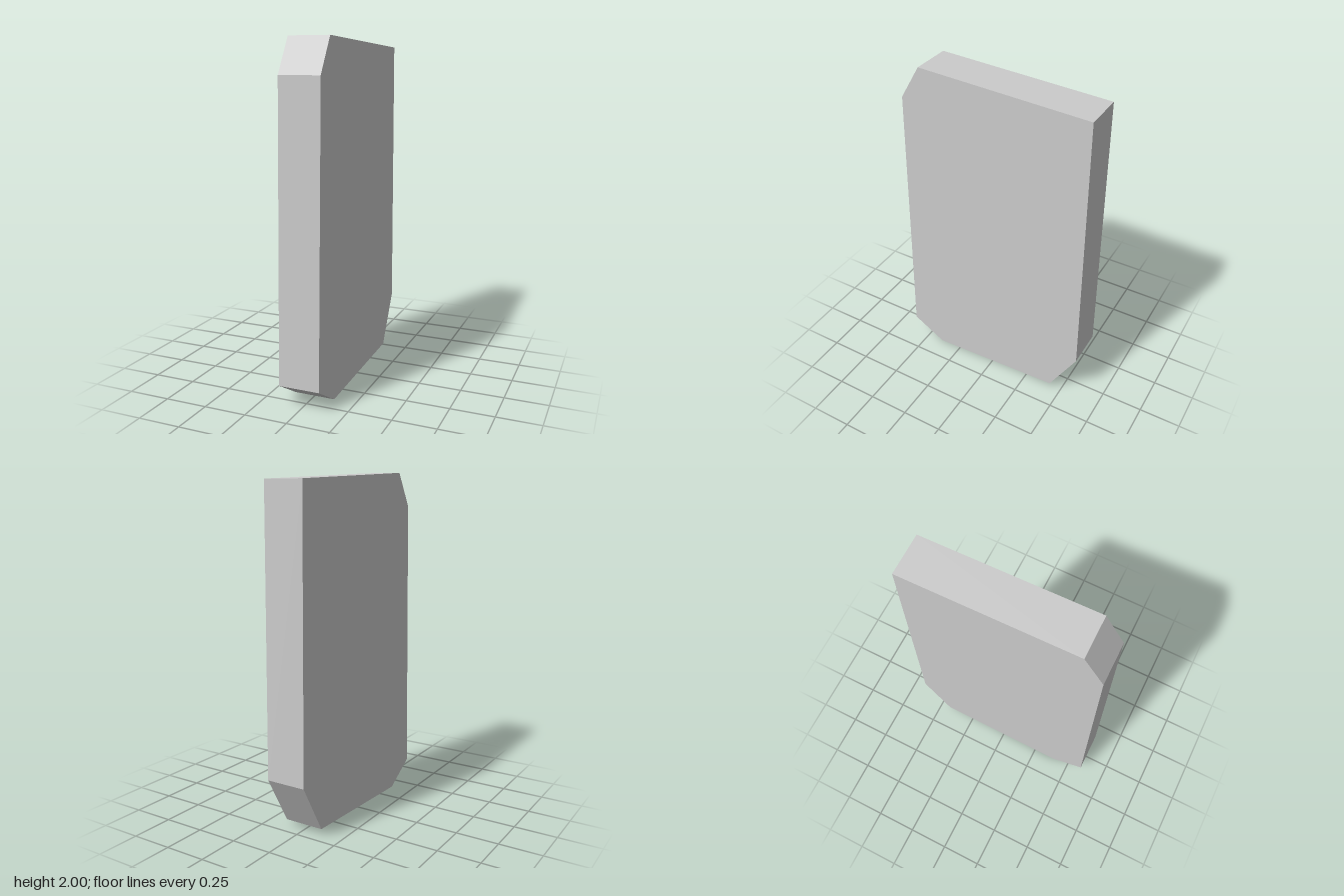
import * as THREE from 'three';

export function createModel() {
  const group = new THREE.Group();
  const width = 0.24;

  // Side outline as (z, y): a slightly tapered slab with three clipped corners
  const outline = [
    [0.39, 0], [0.595, 0.125], [0.55, 1.8], [0.43, 2],
    [-0.575, 1.955], [-0.595, 0.33], [-0.43, 0.035],
  ].map(([z, y]) => new THREE.Vector2(z, y));

  // Extrude across the width, then turn the outline into the z-y plane
  const geometry = new THREE.ExtrudeGeometry(new THREE.Shape(outline), {
    depth: width, bevelEnabled: false,
  });
  geometry.translate(0, 0, -width / 2);
  geometry.rotateY(-Math.PI / 2);

  const slab = new THREE.Mesh(
    geometry,
    new THREE.MeshStandardMaterial({ color: 0xcccccc, flatShading: true })
  );
  slab.name = 'slab';
  group.add(slab);
  return group;
}
